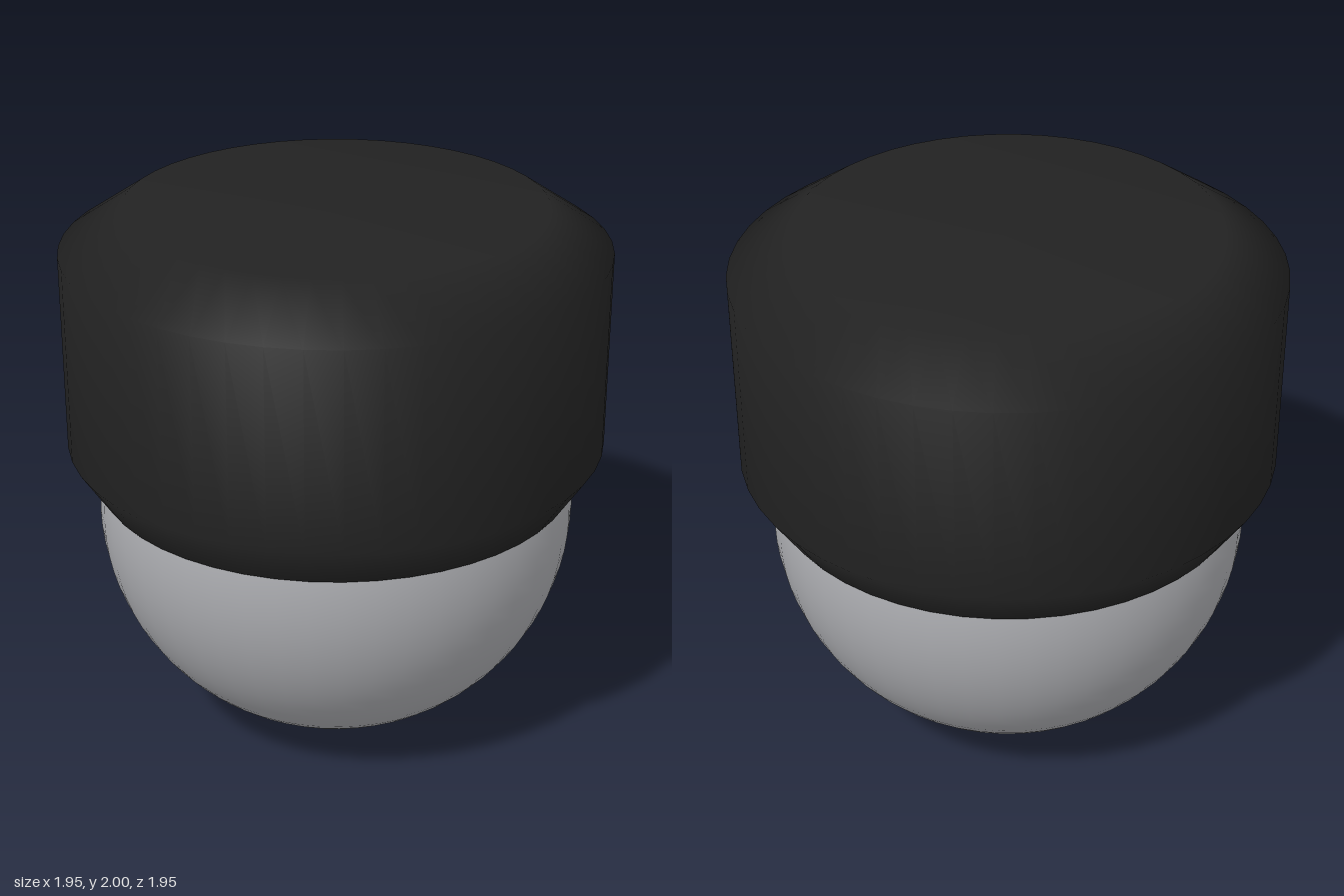
import * as THREE from 'three';

const SEGMENTS = 48;

export function createModel() {
  const model = new THREE.Group();
  model.name = 'domeCamera';

  const housingBlack = new THREE.MeshStandardMaterial({ color: 0x222222 });
  housingBlack.name = 'housingBlack';
  const domeGrey = new THREE.MeshStandardMaterial({ color: 0xacadb1 });
  domeGrey.name = 'domeGrey';

  // Housing: chamfered drum, turned from a short profile and closed inside the dome
  const profile = [
    [0, 0.97], [0.87, 0.97], [0.87, 0.97], [0.975, 1.13],
    [0.975, 1.85], [0.75, 2], [0, 2],
  ].map(([r, y]) => new THREE.Vector2(r, y));
  // Underside and shell are separate so the lower rim stays sharp
  const parts = { housingUnderside: profile.slice(0, 2), housing: profile.slice(2) };
  for (const [name, points] of Object.entries(parts)) {
    const mesh = new THREE.Mesh(new THREE.LatheGeometry(points, SEGMENTS), housingBlack);
    mesh.name = name;
    model.add(mesh);
  }

  // Dome: ball cut off just inside the housing
  const radius = 0.87;
  const start = Math.PI * 0.4;
  const dome = new THREE.Mesh(
    new THREE.SphereGeometry(radius, SEGMENTS, 24, 0, Math.PI * 2, start, Math.PI - start),
    domeGrey,
  );
  dome.name = 'dome';
  dome.position.y = radius;
  model.add(dome);

  return model;
}
